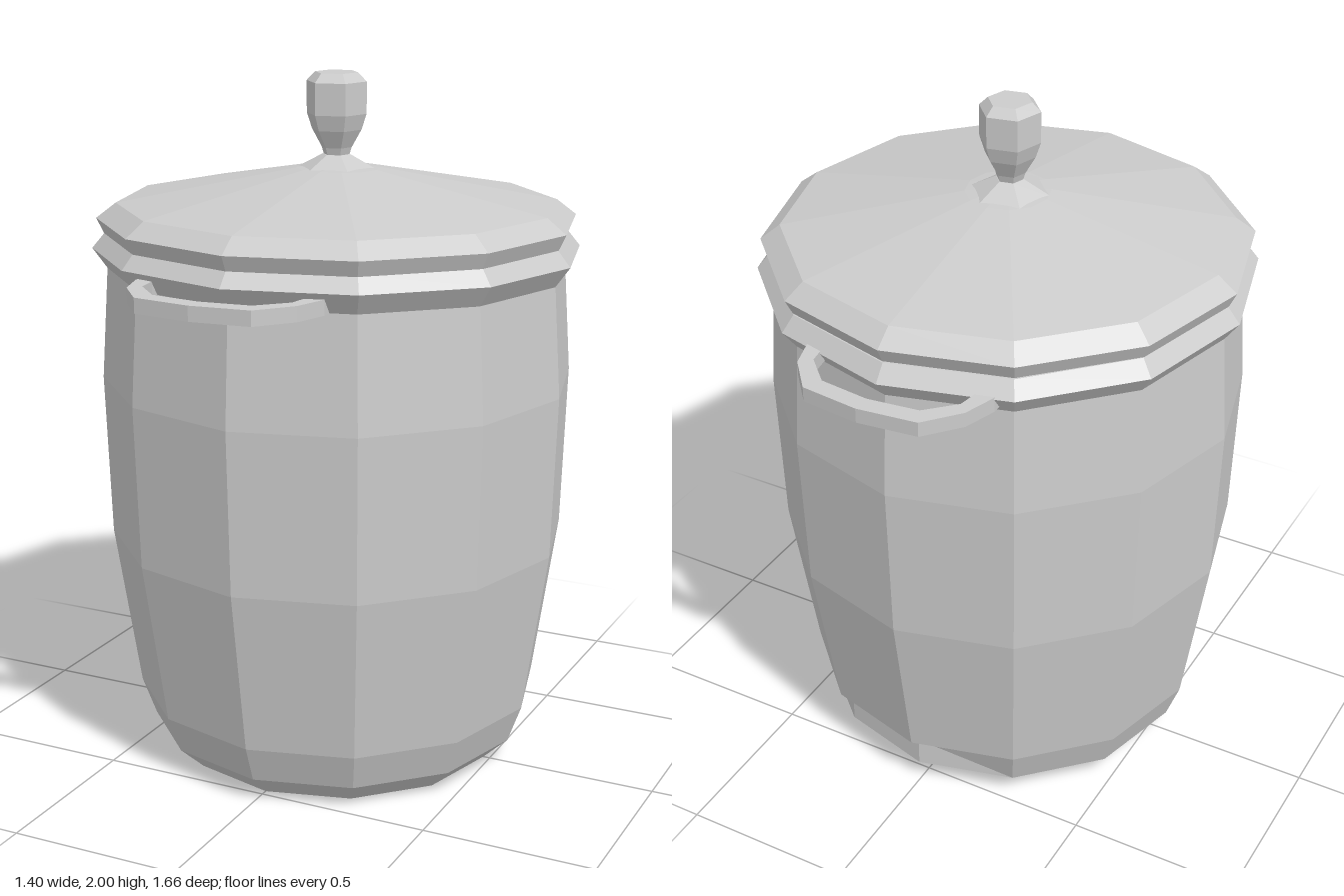
import * as THREE from 'three';

const SIDES = 12;
const TILT = -0.018; // rim and lid sit slightly lower at the back

const grey = new THREE.MeshStandardMaterial({ color: 0xcccccc, flatShading: true });

// Faceted mesh with one normal per face
function facet(geometry, name) {
  const flat = geometry.index ? geometry.toNonIndexed() : geometry;
  flat.computeVertexNormals();
  const mesh = new THREE.Mesh(flat, grey);
  mesh.name = name;
  return mesh;
}

// Turned shape from [radius, height] pairs, listed from bottom to top
function turned(profile, sides = SIDES, start = 0) {
  const points = profile.map(([r, y]) => new THREE.Vector2(r, y));
  return new THREE.LatheGeometry(points, sides, start);
}

// Turned shape tilted about its own middle height
function tilted(profile, pivotY, angle) {
  return turned(profile).translate(0, -pivotY, 0).rotateX(angle).translate(0, pivotY, 0);
}

// Barrel body; the doubled row at 0.18 opens into a shallow ledge at the back
function makeBody() {
  const profile = [
    [0, 0], [0.48, 0], [0.555, 0.07], [0.595, 0.18], [0.595, 0.18],
    [0.667, 0.66], [0.682, 1.13], [0.66, 1.46], [0.64, 1.52],
  ];
  const geometry = turned(profile);
  const position = geometry.attributes.position;
  const lowerRow = 3;
  for (const side of [5, 6]) {
    const phi = (side / SIDES) * Math.PI * 2;
    position.setXYZ(side * profile.length + lowerRow, 0.552 * Math.sin(phi), 0.155, 0.552 * Math.cos(phi));
  }
  return facet(geometry, 'body');
}

// Flat angular loop handle, drawn in plan and extruded upwards
function makeHandle(name, back) {
  const outer = [[-0.28, 0.58], [-0.28, 0.62], [-0.25, 0.715], [-0.17, 0.81], [0, 0.83],
    [0.17, 0.81], [0.25, 0.715], [0.28, 0.62], [0.28, 0.58]];
  const inner = [[0.23, 0.58], [0.23, 0.62], [0.22, 0.685], [0.145, 0.76], [0, 0.778],
    [-0.145, 0.76], [-0.22, 0.685], [-0.23, 0.62], [-0.23, 0.58]];
  const shape = new THREE.Shape([...outer, ...inner].map(([x, z]) => new THREE.Vector2(x, z)));
  const geometry = new THREE.ExtrudeGeometry(shape, { depth: 0.042, bevelEnabled: false });
  geometry.rotateX(Math.PI / 2); // plan y becomes z, thickness hangs down
  if (back) geometry.rotateY(Math.PI);
  geometry.translate(-0.02, 1.497, 0);
  return facet(geometry, name);
}

export function createModel() {
  const model = new THREE.Group();
  model.name = 'liddedPot';

  model.add(makeBody());

  // Flared rim around the mouth
  const rim = [[0.64, 1.44], [0.66, 1.445], [0.702, 1.503], [0.665, 1.548], [0.58, 1.548]];
  model.add(facet(tilted(rim, 1.5, TILT), 'rim'));

  // Shallow conical lid
  const lid = [[0.6, 1.535], [0.667, 1.548], [0.688, 1.592], [0.632, 1.635], [0.12, 1.732], [0, 1.745]];
  model.add(facet(tilted(lid, 1.6, TILT * 0.6), 'lid'));

  // Six-sided knob with its small foot
  const turn = THREE.MathUtils.degToRad(-18);
  const foot = [[0.125, 1.725], [0.04, 1.77], [0, 1.77]];
  const knob = [[0.036, 1.765], [0.044, 1.79], [0.072, 1.84], [0.087, 1.885], [0.087, 1.975], [0.062, 2], [0, 2]];
  const knobGroup = new THREE.Group();
  knobGroup.name = 'lidKnob';
  knobGroup.position.x = -0.005;
  knobGroup.add(facet(turned(foot, 6, turn), 'knobFoot'), facet(turned(knob, 6, turn), 'knob'));
  model.add(knobGroup);

  model.add(makeHandle('frontHandle', false), makeHandle('backHandle', true));
  return model;
}
